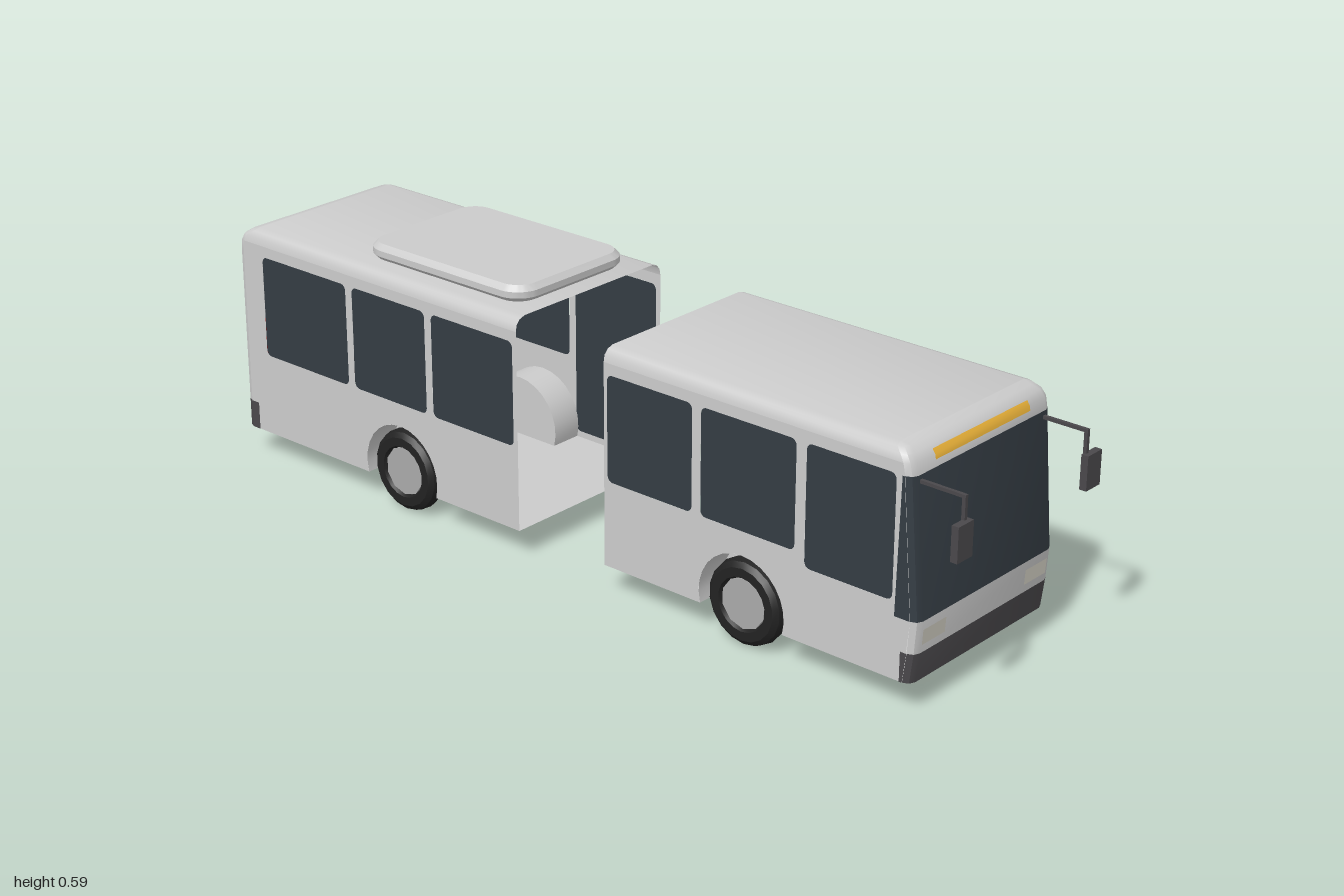
import * as THREE from 'three';
import { toCreasedNormals } from 'three/addons/utils/BufferGeometryUtils.js';

const mat = (color) => new THREE.MeshStandardMaterial({ color, side: THREE.DoubleSide });
const W = 0.227, FLOOR = 0.065, EAVE = 0.52, CORNER = 0.018;
const WHEEL_Y = 0.095, ARCH_R = 0.11, ARCH_IN = 0.15;
const ARCH_HALF = Math.sqrt(ARCH_R ** 2 - (WHEEL_Y - FLOOR) ** 2);

// end profiles as [y, x]
const FRONT = [[FLOOR, 0.897], [0.13, 0.905], [0.2, 0.91], [0.495, 0.885], [EAVE, 0.88], [0.535, 0.87], [0.545, 0.856], [0.55, 0.835]];
const REAR = [[FLOOR, -1], [0.13, -1], [0.495, -1], [EAVE, -0.997], [0.535, -0.99], [0.545, -0.976], [0.55, -0.955]];
// eave rounding as [y, half width]
const EAVES = [[EAVE, W], [0.535, 0.224], [0.545, 0.215], [0.55, 0.2]];

function lookup(table, y) {
  if (y <= table[0][0]) return table[0][1];
  for (let i = 1; i < table.length; i++) {
    const [y0, v0] = table[i - 1], [y1, v1] = table[i];
    if (y <= y1) return v0 + (v1 - v0) * (y - y0) / (y1 - y0);
  }
  return table[table.length - 1][1];
}
const cornerAt = (y) => (y >= 0.55 ? 0 : CORNER);

// surface through rows of points
function surface(rows) {
  const n = rows[0].length, index = [];
  for (let i = 0; i < rows.length - 1; i++) {
    for (let j = 0; j < n - 1; j++) {
      const a = i * n + j;
      index.push(a, a + 1, a + n, a + 1, a + n + 1, a + n);
    }
  }
  const g = new THREE.BufferGeometry();
  g.setAttribute('position', new THREE.Float32BufferAttribute(rows.flat(2), 3));
  g.setIndex(index);
  return toCreasedNormals(g, 0.6);
}

function roundedRect(x0, y0, x1, y1, r, target = new THREE.Shape()) {
  target.moveTo(x0 + r, y0);
  target.lineTo(x1 - r, y0).absarc(x1 - r, y0 + r, r, -Math.PI / 2, 0);
  target.lineTo(x1, y1 - r).absarc(x1 - r, y1 - r, r, 0, Math.PI / 2);
  target.lineTo(x0 + r, y1).absarc(x0 + r, y1 - r, r, Math.PI / 2, Math.PI);
  target.lineTo(x0, y0 + r).absarc(x0 + r, y0 + r, r, Math.PI, Math.PI * 1.5);
  return target;
}

export function createModel() {
  const model = new THREE.Group();
  const grey = mat(0xcccccc), glass = mat(0x343c43), trim = mat(0x4a484b), black = mat(0x222222);
  const amber = mat(0xeeb53a), red = mat(0xa02020), lamp = mat(0xd2cec2), hubGrey = mat(0xaaaaaa);

  const add = (name, geo, material, parent = model) => {
    const m = new THREE.Mesh(geo, material);
    m.name = name;
    parent.add(m);
    return m;
  };
  const box = (name, x0, x1, y0, y1, z0, z1, material) =>
    add(name, new THREE.BoxGeometry(x1 - x0, y1 - y0, z1 - z0), material)
      .position.set((x0 + x1) / 2, (y0 + y1) / 2, (z0 + z1) / 2);

  // end panel between two heights, wrapped round the corners
  const endPanel = (name, table, y0, y1, material) => {
    const s = Math.sign(table[0][1]);
    const ys = [y0, ...table.map((p) => p[0]).filter((y) => y > y0 && y < y1), y1];
    const rows = ys.map((y) => {
      const x = lookup(table, y), w = lookup(EAVES, y), c = cornerAt(y), k = c * 0.3;
      return [[x - s * c, y, -w], [x - s * k, y, k - w], [x, y, c - w], [x, y, w - c], [x - s * k, y, w - k], [x - s * c, y, w]];
    });
    add(name, surface(rows), material);
  };

  // one half of the body: an open shell with sides, roof and floor
  const section = (prefix, xa, xb, wheelX, leftWindows, rightWindows) => {
    for (const [side, windows] of [[1, leftWindows], [-1, rightWindows]]) {
      const wall = new THREE.Shape();
      wall.moveTo(xa(FLOOR), FLOOR);
      wall.lineTo(wheelX - ARCH_HALF, FLOOR);
      const dip = Math.asin((WHEEL_Y - FLOOR) / ARCH_R);
      wall.absarc(wheelX, WHEEL_Y, ARCH_R, Math.PI + dip, -dip, true);
      for (const y of [FLOOR, 0.2, 0.495, EAVE]) wall.lineTo(xb(y), y);
      for (const y of [EAVE, 0.495, 0.2]) wall.lineTo(xa(y), y);
      for (const [x0, y0, x1, y1] of windows) {
        wall.holes.push(roundedRect(x0, y0, x1, y1, 0.014, new THREE.Path()));
        const pane = new THREE.ShapeGeometry(roundedRect(x0, y0, x1, y1, 0.014), 4);
        add(y0 < 0.1 ? prefix + 'Door' : prefix + 'Window', pane, glass).position.z = side * (W - 0.0005);
      }
      add(prefix + 'SideWall', new THREE.ShapeGeometry(wall, 12), grey).position.z = side * W;

      // wheel housing: curved liner and inner cap
      const arc = [];
      for (let i = 0; i <= 16; i++) {
        const a = -dip + (Math.PI + 2 * dip) * i / 16;
        arc.push([wheelX + ARCH_R * Math.cos(a), WHEEL_Y + ARCH_R * Math.sin(a)]);
      }
      add(prefix + 'WheelHousing', surface([W, ARCH_IN].map((z) => arc.map(([x, y]) => [x, y, side * z]))), grey);
      const cap = new THREE.Shape(arc.map(([x, y]) => new THREE.Vector2(x, y)));
      add(prefix + 'WheelHousingCap', new THREE.ShapeGeometry(cap), grey).position.z = side * ARCH_IN;
      wheel(prefix + 'Wheel', wheelX, side);
    }

    // roof with rounded eaves
    const across = [...EAVES, ...EAVES.map(([y, w]) => [y, -w]).reverse()];
    add(prefix + 'Roof', surface(across.map(([y, z]) => [[xa(y), y, z], [xb(y), y, z]])), grey);

    // floor notched at the wheels
    const a = xa(FLOOR), b = xb(FLOOR), l = wheelX - ARCH_HALF, r = wheelX + ARCH_HALF;
    const half = [[a, W], [l, W], [l, ARCH_IN], [r, ARCH_IN], [r, W], [b, W]];
    const outline = [...half, ...half.map(([x, z]) => [x, -z]).reverse()].map((p) => new THREE.Vector2(...p));
    const floor = new THREE.ShapeGeometry(new THREE.Shape(outline));
    add(prefix + 'Floor', floor.rotateX(Math.PI / 2).translate(0, FLOOR, 0), grey);
  };

  // faceted tyre with a hub disc
  const wheel = (name, x, side) => {
    const g = new THREE.Group();
    g.name = name;
    const profile = [[0.055, -0.025], [0.08, -0.025], [0.091, -0.016], [0.095, 0], [0.091, 0.016], [0.08, 0.025], [0.06, 0.025], [0.055, 0.016]];
    const tyre = new THREE.LatheGeometry(profile.map((p) => new THREE.Vector2(...p)), 18);
    add('tyre', toCreasedNormals(tyre, 0.4), black, g);
    add('hub', new THREE.CylinderGeometry(0.056, 0.056, 0.038, 10), hubGrey, g);
    g.rotation.x = side * Math.PI / 2;
    g.position.set(x, WHEEL_Y, side * 0.2);
    model.add(g);
  };

  const lo = 0.258, hi = 0.495;
  const rearPair = [[-0.92, lo, -0.65, hi], [-0.63, lo, -0.405, hi]];
  const frontPair = [[0.121, lo, 0.347, hi], [0.37, lo, 0.61, hi]];
  section('rear', (y) => lookup(REAR, y) + cornerAt(y), () => -0.133, -0.49,
    [...rearPair, [-0.385, lo, -0.145, hi]], [...rearPair, [-0.385, 0.08, -0.145, hi]]);
  section('front', () => 0.112, (y) => lookup(FRONT, y) - cornerAt(y), 0.478,
    [...frontPair, [0.635, 0.23, 0.848, hi]], [...frontPair, [0.635, 0.08, 0.848, hi]]);

  // front end
  endPanel('frontBumper', FRONT, FLOOR, 0.13, trim);
  endPanel('frontBand', FRONT, 0.13, 0.2, grey);
  endPanel('windshield', FRONT, 0.2, 0.495, glass);
  endPanel('frontBrow', FRONT, 0.495, 0.55, grey);
  // rear end
  endPanel('rearBumper', REAR, FLOOR, 0.13, trim);
  endPanel('rearPanel', REAR, 0.13, 0.55, grey);

  const rearWindow = new THREE.ShapeGeometry(roundedRect(-0.165, 0.385, 0.165, 0.505, 0.02), 4);
  add('rearWindow', rearWindow.rotateY(-Math.PI / 2), glass).position.x = -1.001;

  // destination strip on the sloping brow
  const strip = [0.51, 0.52, 0.53].map((y) => [-0.155, 0.155].map((z) => [lookup(FRONT, y) + 0.002, y, z]));
  add('destinationStrip', surface(strip), amber);

  for (const s of [1, -1]) {
    // wrapped glass and bumper ends on the flanks
    const z = s * (W + 0.001);
    add('windshieldReturn', surface([[[0.855, 0.2, z], [0.892, 0.2, z]], [[0.862, 0.495, z], [0.867, 0.495, z]]]), glass);
    add('frontBumperReturn', surface([[[0.872, FLOOR, z], [0.879, FLOOR, z]], [[0.872, 0.13, z], [0.887, 0.13, z]]]), trim);
    add('rearBumperReturn', surface([FLOOR, 0.13].map((y) => [[-0.982, y, z], [-0.958, y, z]])), trim);

    // lights
    const zs = [s * 0.133, s * 0.207];
    add('headlight', surface([0.148, 0.181].map((y) => zs.map((q) => [lookup(FRONT, y) + 0.001, y, q]))), lamp);
    box('tailLight', -1.002, -0.998, 0.14, 0.315, s * 0.182 - 0.024, s * 0.182 + 0.024, red);

    // mirror on a bent arm
    const m = s * 0.202;
    box('mirrorArm', 0.88, 0.99, 0.479, 0.486, m - 0.004, m + 0.004, trim);
    box('mirrorStem', 0.982, 0.99, 0.43, 0.486, m - 0.004, m + 0.004, trim);
    box('mirror', 0.984, 1, 0.36, 0.435, s * 0.214 - 0.024, s * 0.214 + 0.024, trim);
  }

  // roof unit with bevelled edges
  const unit = new THREE.ExtrudeGeometry(roundedRect(-0.635, -0.162, -0.184, 0.162, 0.045), {
    depth: 0.014, bevelThickness: 0.012, bevelSize: 0.012, bevelSegments: 1, curveSegments: 6,
  });
  add('roofUnit', toCreasedNormals(unit.rotateX(-Math.PI / 2), 0.5), grey).position.y = 0.56;
  return model;
}
